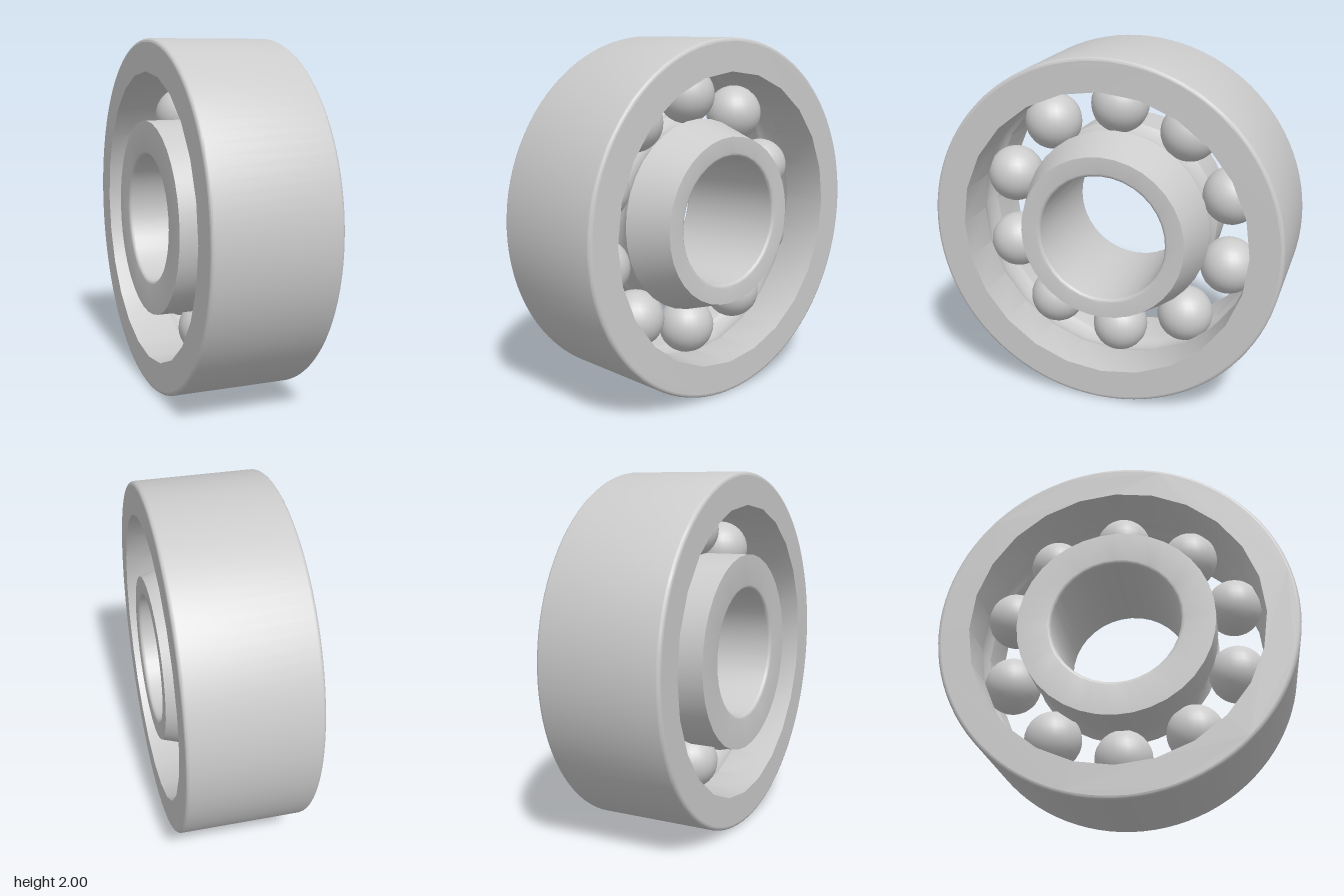
import * as THREE from 'three';
import { toCreasedNormals } from 'three/addons/utils/BufferGeometryUtils.js';

const HALF = 0.355;      // half width along the axle (x)
const PITCH = 0.68;      // radius of the circle of balls
const BALL = 0.163;
const GROOVE = 0.165;
const FILLET = 0.02;
const BALL_COUNT = 10;

const material = new THREE.MeshStandardMaterial({ color: 0xcccccc });

// Points are [radius, x]; arcs run from angle a to b around a centre
function arc(r, x, radius, a, b, steps) {
  const points = [];
  for (let i = 0; i <= steps; i++) {
    const t = a + (b - a) * i / steps;
    points.push([r + radius * Math.cos(t), x + radius * Math.sin(t)]);
  }
  return points;
}

// Turn a profile around the x axis
function turned(name, profile, segments) {
  const points = profile.map(([r, x]) => new THREE.Vector2(r, x));
  const geometry = new THREE.LatheGeometry(points, segments).rotateZ(-Math.PI / 2);
  const mesh = new THREE.Mesh(toCreasedNormals(geometry, Math.PI / 6), material);
  mesh.name = name;
  return mesh;
}

function circle(radius, segments) {
  return Array.from({ length: segments }, (_, i) => {
    const t = i / segments * Math.PI * 2;
    return new THREE.Vector2(radius * Math.cos(t), radius * Math.sin(t));
  });
}

// Outer ring: fine rim, coarser grooved raceway, flat side faces
function outerRing() {
  const ring = new THREE.Group();
  ring.name = 'outerRing';
  const flat = 1 - FILLET, edge = HALF - FILLET, lip = 0.82, sides = 24;

  ring.add(turned('outerRim', [
    ...arc(flat, -edge, FILLET, -Math.PI / 2, 0, 4),
    ...arc(flat, edge, FILLET, 0, Math.PI / 2, 4),
  ], 96));

  const reach = Math.acos((lip - PITCH) / GROOVE);
  ring.add(turned('outerRaceway', [
    [lip, HALF],
    ...arc(PITCH, 0, GROOVE, reach, -reach, 10),
    [lip, -HALF],
  ], sides));

  const shape = new THREE.Shape(circle(flat, 96));
  shape.holes.push(new THREE.Path(circle(lip, sides)));
  for (const side of [1, -1]) {
    const geometry = new THREE.ShapeGeometry(shape).rotateY(side * Math.PI / 2);
    const face = new THREE.Mesh(geometry, material);
    face.name = 'outerSideFace';
    face.position.x = side * HALF;
    ring.add(face);
  }
  return ring;
}

// Inner ring: straight shoulder on -x, tapered shoulder on +x
function innerRing() {
  const bore = 0.36, shoulder = 0.55, edge = HALF - FILLET;
  const reach = Math.acos((PITCH - shoulder) / GROOVE);
  const profile = [
    [shoulder, -HALF],
    ...arc(PITCH, 0, GROOVE, Math.PI + reach, Math.PI - reach, 12),
    [0.47, HALF],
    ...arc(bore + FILLET, edge, FILLET, Math.PI / 2, Math.PI, 4),
    ...arc(bore + FILLET, -edge, FILLET, Math.PI, Math.PI * 1.5, 4),
    [shoulder, -HALF],
  ];
  return turned('innerRing', profile, 36);
}

// Balls evenly spaced, one at the very top
function balls() {
  const group = new THREE.Group();
  group.name = 'balls';
  const geometry = new THREE.SphereGeometry(BALL, 24, 16);
  for (let i = 0; i < BALL_COUNT; i++) {
    const t = i / BALL_COUNT * Math.PI * 2;
    const ball = new THREE.Mesh(geometry, material);
    ball.name = 'ball';
    ball.position.set(0, PITCH * Math.cos(t), PITCH * Math.sin(t));
    group.add(ball);
  }
  return group;
}

export function createModel() {
  const bearing = new THREE.Group();
  bearing.name = 'ballBearing';
  bearing.add(outerRing(), innerRing(), balls());
  bearing.position.y = 1;
  const model = new THREE.Group();
  model.add(bearing);
  return model;
}
